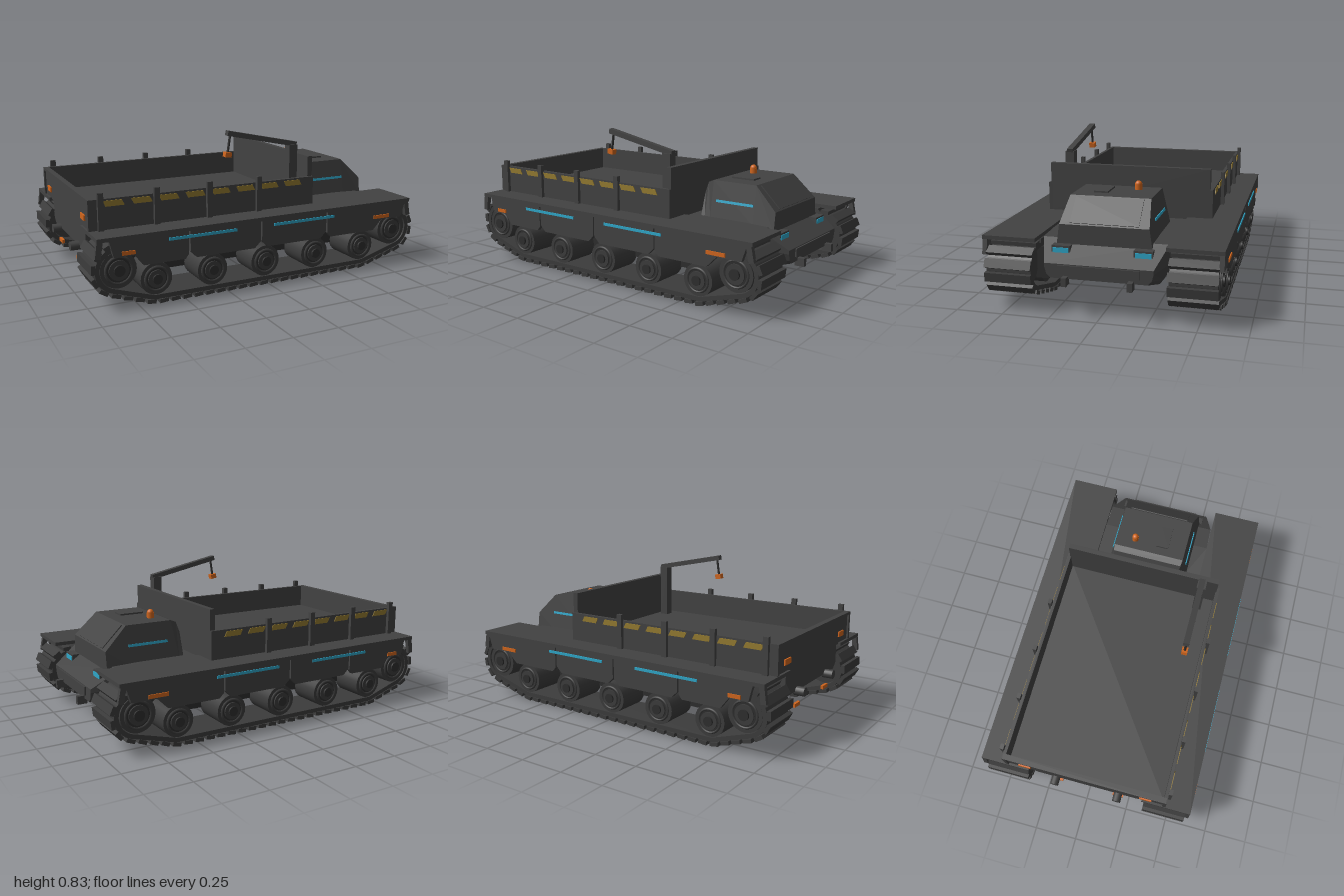
import * as THREE from 'three';

const mat = (name, color) => {
  const m = new THREE.MeshStandardMaterial({ color });
  m.name = name;
  return m;
};

export function createModel() {
  const body = mat('body grey', 0x424242);
  const trackMat = mat('track grey', 0x3c3c3c);
  const dark = mat('dark grey', 0x2e2e2e);
  const orange = mat('signal orange', 0xcf651d);
  const cyan = mat('light cyan', 0x2fa6c8);
  const yellow = mat('stripe yellow', 0x937a30);

  const model = new THREE.Group();
  model.name = 'trackedCargoVehicle';

  const add = (name, geo, m, x = 0, y = 0, z = 0, parent = model) => {
    const mesh = new THREE.Mesh(geo, m);
    mesh.name = name;
    mesh.position.set(x, y, z);
    parent.add(mesh);
    return mesh;
  };
  // box given by its limits
  const box = (name, m, x0, x1, y0, y1, z0, z1, parent = model) =>
    add(name, new THREE.BoxGeometry(x1 - x0, y1 - y0, Math.abs(z1 - z0)), m,
      (x0 + x1) / 2, (y0 + y1) / 2, (z0 + z1) / 2, parent);
  const polygon = (pts) => new THREE.Shape(pts.map(([x, y]) => new THREE.Vector2(x, y)));
  const plate = (shape, depth) => new THREE.ExtrudeGeometry(shape, { depth, bevelEnabled: false, curveSegments: 10 })
    .translate(0, 0, -depth / 2);

  // faceted body lofted along x; each section is [x, [z, y], ...] from top to bottom
  const loft = (sections) => {
    const rings = sections.map(([x, ...half]) => [
      ...half.map(([z, y]) => [x, y, z]),
      ...half.slice().reverse().map(([z, y]) => [x, y, -z]),
    ]);
    const pos = [];
    const tri = (a, b, c) => pos.push(...a, ...b, ...c);
    const n = rings[0].length;
    for (let s = 0; s < rings.length - 1; s++) {
      const a = rings[s], b = rings[s + 1];
      for (let i = 0; i < n; i++) {
        const j = (i + 1) % n;
        tri(a[i], a[j], b[j]);
        tri(a[i], b[j], b[i]);
      }
    }
    const first = rings[0], last = rings[rings.length - 1];
    for (let i = 1; i < n - 1; i++) {
      tri(first[0], first[i + 1], first[i]);
      tri(last[0], last[i], last[i + 1]);
    }
    const g = new THREE.BufferGeometry();
    g.setAttribute('position', new THREE.Float32BufferAttribute(pos, 3));
    g.computeVertexNormals();
    return g;
  };

  // hull with sloping nose
  add('hull', loft([
    [-0.95, [0.335, 0.375], [0.335, 0.27], [0.32, 0.255], [0.3, 0.24]],
    [-0.82, [0.335, 0.375], [0.335, 0.27], [0.3, 0.18], [0.28, 0.15]],
    [0.68, [0.335, 0.375], [0.335, 0.27], [0.3, 0.18], [0.28, 0.15]],
    [0.82, [0.33, 0.37], [0.33, 0.27], [0.3, 0.185], [0.28, 0.16]],
    [0.96, [0.28, 0.275], [0.28, 0.255], [0.27, 0.22], [0.25, 0.2]],
  ]), body);
  box('nosePlate', body, 0.95, 0.968, 0.225, 0.27, -0.21, 0.21);

  // cab
  add('cab', loft([
    [0.4, [0.205, 0.5], [0.25, 0.365]],
    [0.425, [0.21, 0.56], [0.25, 0.365]],
    [0.46, [0.215, 0.575], [0.25, 0.365]],
    [0.725, [0.215, 0.575], [0.25, 0.365]],
    [0.853, [0.235, 0.45], [0.25, 0.345]],
  ]), body);
  const windshield = add('windshield', new THREE.BoxGeometry(0.16, 0.008, 0.36), body, 0.79, 0.513, 0);
  windshield.rotation.z = -Math.PI / 4;
  box('roofHatch', body, 0.51, 0.65, 0.57, 0.584, 0.035, 0.11);
  add('beaconBase', new THREE.CylinderGeometry(0.02, 0.02, 0.03, 16), orange, 0.527, 0.59, -0.1);
  add('beaconDome', new THREE.SphereGeometry(0.019, 16, 8, 0, Math.PI * 2, 0, Math.PI / 2), orange, 0.527, 0.605, -0.1);

  // cargo bed
  box('bedFloor', body, -0.96, 0.35, 0.38, 0.41, -0.47, 0.47);
  box('tailBoard', body, -0.962, -0.94, 0.39, 0.54, -0.47, 0.47);
  box('tailRail', body, -0.972, -0.94, 0.535, 0.55, -0.47, 0.47);
  box('headBoard', body, 0.32, 0.35, 0.39, 0.665, -0.46, 0.46);

  // loader crane
  box('cranePost', body, 0.24, 0.292, 0.41, 0.725, 0.34, 0.392);
  const boom = add('craneBoom', new THREE.BoxGeometry(0.45, 0.028, 0.034), body, 0.073, 0.771, 0.364);
  boom.rotation.z = -0.205;
  const cable = add('craneCable', new THREE.CylinderGeometry(0.007, 0.007, 0.11, 8), dark, -0.134, 0.758, 0.364);
  cable.rotation.z = -0.15;
  const hook = add('craneHook', new THREE.BoxGeometry(0.038, 0.028, 0.034), orange, -0.143, 0.697, 0.364);
  hook.rotation.z = -0.15;

  // track loop, counterclockwise around front idler, rear sprocket and road wheels
  const lowF = -1.279, lowR = -1.889;
  const loop = (PathType, offset) => {
    const p = new PathType();
    const big = 0.11 + offset, small = 0.1 + offset;
    p.absarc(0.84, 0.21, big, lowF, Math.PI / 2, false);
    p.absarc(-0.86, 0.21, big, Math.PI / 2, lowR + Math.PI * 2, false);
    p.absarc(-0.66, 0.135, small, lowR, -Math.PI / 2, false);
    p.absarc(0.61, 0.135, small, -Math.PI / 2, lowF, false);
    p.closePath();
    return p;
  };
  const bandShape = loop(THREE.Shape, 0.012);
  bandShape.holes.push(loop(THREE.Path, -0.012));
  const bandGeo = plate(bandShape, 0.24);
  const padGeo = new THREE.BoxGeometry(0.048, 0.021, 0.25);
  const padCount = 64;
  const padPath = loop(THREE.Path, 0.013);

  const wheel = (name, x, y, r, s, parent) => {
    const g = new THREE.Group();
    g.name = name;
    g.position.set(x, y, 0);
    parent.add(g);
    for (const [part, radius, z0, z1, m] of [
      ['tyre', r, 0.4, 0.59, trackMat], ['dish', r * 0.72, 0.58, 0.594, dark],
      ['hub', r * 0.55, 0.58, 0.602, trackMat], ['hubCap', r * 0.3, 0.59, 0.612, dark],
    ]) {
      const geo = new THREE.CylinderGeometry(radius, radius, z1 - z0, 24).rotateX(Math.PI / 2);
      add(part, geo, m, 0, 0, s * (z0 + z1) / 2, g);
    }
    const rim = new THREE.TorusGeometry(r * 0.72, 0.007, 6, 24);
    add('rim', rim, trackMat, 0, 0, s * 0.592, g);
  };

  const midPanel = [[-0.2, 0.375], [-0.2, 0.26], [-0.165, 0.225], [0.165, 0.225], [0.2, 0.26], [0.2, 0.375]];
  const endPanel = [[0.36, 0.375], [0.36, 0.25], [0.385, 0.225], [0.68, 0.225], [0.74, 0.285], [0.88, 0.285], [0.91, 0.375]];
  const rearPanel = endPanel.map(([x, y]) => [-0.49 - (x - 0.36) * 0.77, y]).reverse();

  for (const s of [1, -1]) {
    const side = new THREE.Group();
    side.name = s > 0 ? 'leftSide' : 'rightSide';
    model.add(side);
    const b = (name, m, x0, x1, y0, y1, z0, z1) => box(name, m, x0, x1, y0, y1, s * z0, s * z1, side);

    // running gear
    add('trackBand', bandGeo, trackMat, 0, 0, s * 0.473, side);
    for (let i = 0; i < padCount; i++) {
      const p = padPath.getPointAt(i / padCount), t = padPath.getTangentAt(i / padCount);
      const pad = add('trackPad', padGeo, trackMat, p.x + t.y * 0.01, p.y - t.x * 0.01, s * 0.473, side);
      pad.rotation.z = Math.atan2(t.y, t.x) + 0.1;
    }
    b('suspensionBeam', dark, -0.78, 0.75, 0.115, 0.29, 0.335, 0.41);
    for (const x of [-0.66, -0.343, -0.024, 0.294, 0.612]) wheel('roadWheel', x, 0.135, 0.086, s, side);
    wheel('rearSprocket', -0.86, 0.21, 0.096, s, side);
    wheel('frontIdler', 0.835, 0.21, 0.096, s, side);

    // fender, end flaps and skirts
    b('fender', body, -0.975, 0.94, 0.37, 0.39, 0.335, 0.62);
    for (const [x, a] of [[-0.965, -0.14], [0.925, 0.2]]) {
      const flap = add('endFlap', new THREE.BoxGeometry(0.03, 0.09, 0.024), body, x, 0.332, s * 0.607, side);
      flap.rotation.z = a;
    }
    const skirts = [['frontSkirt', endPanel], ['rearSkirt', rearPanel]];
    for (const x of [-0.275, 0.145]) skirts.push(['middleSkirt', midPanel.map(([px, y]) => [x + px * 1.03, y])]);
    for (const [name, pts] of skirts) add(name, plate(polygon(pts), 0.024), body, 0, 0, s * 0.607, side);
    b('lightStrip', cyan, -0.6, -0.215, 0.335, 0.35, 0.617, 0.624);
    b('lightStrip', cyan, 0.012, 0.402, 0.335, 0.35, 0.617, 0.624);
    b('rearMarker', orange, -0.85, -0.78, 0.292, 0.312, 0.617, 0.625);
    b('frontMarker', orange, 0.68, 0.79, 0.292, 0.312, 0.617, 0.625);

    // bed side wall, posts and stripes
    b('bedSide', body, -0.972, 0.35, 0.39, 0.55, 0.455, 0.475);
    for (const x of [-0.91, -0.61, -0.31, -0.01]) b('sidePost', body, x - 0.015, x + 0.015, 0.38, 0.585, 0.472, 0.494);
    for (let i = 0; i < 8; i++) {
      const x = -0.895 + i * 0.15;
      const shape = polygon([[x + 0.015, 0.51], [x + 0.115, 0.51], [x + 0.1, 0.54], [x, 0.54]]);
      add('hazardStripe', plate(shape, 0.006), yellow, 0, 0, s * 0.476, side);
    }

    // lights, windows and towing gear
    const sideWindow = add('sideWindow', new THREE.BoxGeometry(0.23, 0.014, 0.008), cyan, 0.605, 0.466, s * 0.234, side);
    sideWindow.rotation.x = -s * 0.165;
    b('headlightHousing', body, 0.855, 0.898, 0.29, 0.35, 0.165, 0.262);
    b('headlight', cyan, 0.896, 0.902, 0.31, 0.34, 0.172, 0.256);
    b('towHook', body, 0.945, 0.998, 0.17, 0.215, 0.155, 0.182);
    add('rearTowPin', new THREE.CylinderGeometry(0.025, 0.025, 0.06, 16).rotateZ(Math.PI / 2), body, -0.968, 0.24, s * 0.19, side);
    b('tailLamp', orange, -0.97, -0.961, 0.425, 0.455, 0.32, 0.39);
    b('lowerTailLamp', orange, -0.955, -0.94, 0.153, 0.173, 0.155, 0.22);
  }
  return model;
}
